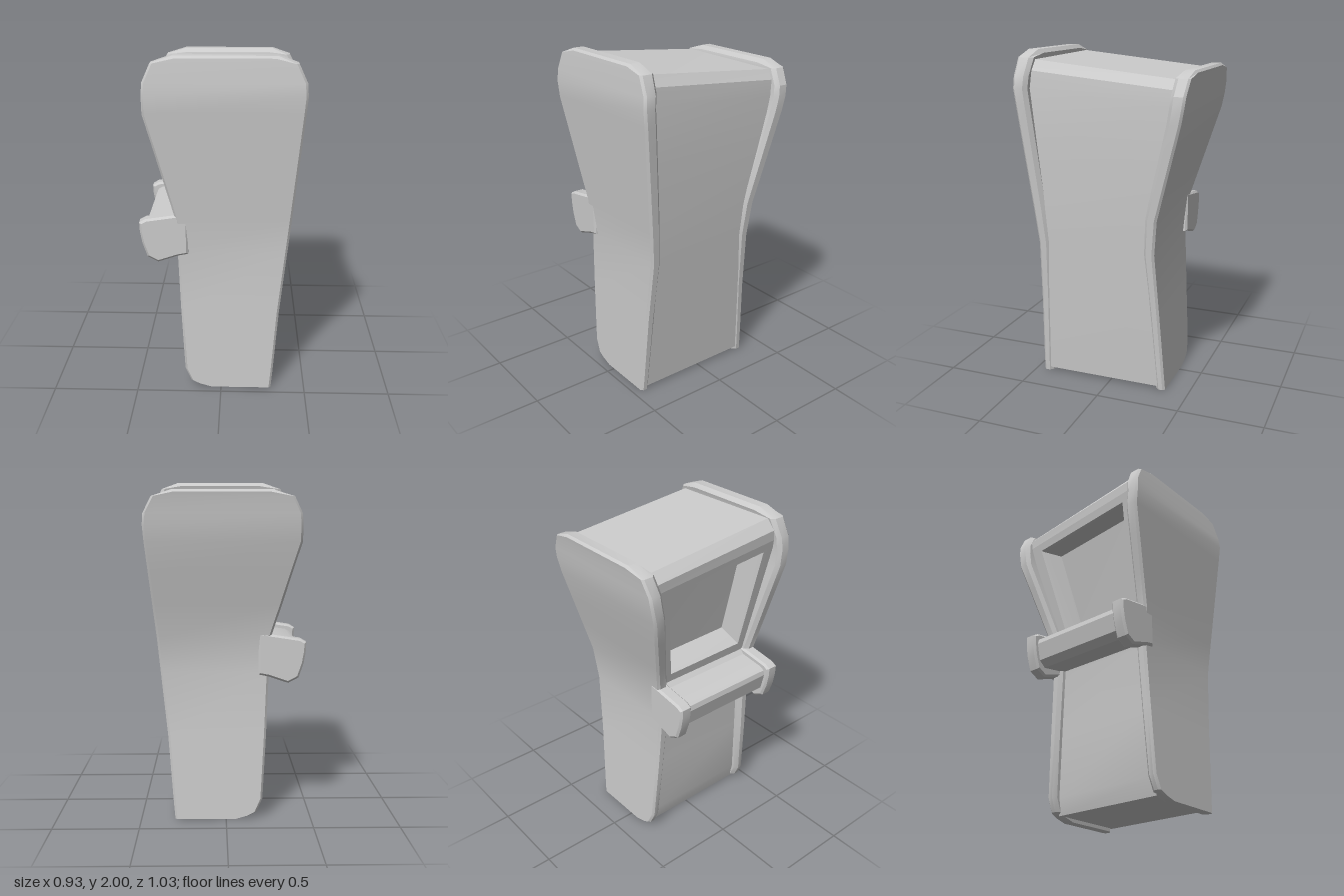
import * as THREE from 'three';
import { toCreasedNormals } from 'three/addons/utils/BufferGeometryUtils.js';

const material = new THREE.MeshStandardMaterial({ color: 0xcccccc });

// Piecewise linear curve through [y, value] keys
function curve(keys) {
  return (y) => {
    let i = 0;
    while (i < keys.length - 2 && y > keys[i + 1][0]) i++;
    const [y0, a] = keys[i], [y1, b] = keys[i + 1];
    return a + (b - a) * THREE.MathUtils.clamp((y - y0) / (y1 - y0), 0, 1);
  };
}

// The two bent sides: inner and outer z by height; the back one is a little shorter
const front = {
  sign: 1,
  outer: curve([[0, .45], [.5, .433], [.87, .42], [1.08, .44], [1.79, .515], [2, .5]]),
  inner: curve([[0, .39], [.87, .35], [1.08, .365], [1.79, .43], [2, .405]]),
  height: (y) => y,
};
const back = {
  sign: -1,
  outer: curve([[0, -.355], [.5, -.325], [.87, -.305], [1.08, -.325], [1.74, -.485], [2, -.515]]),
  inner: curve([[0, -.295], [.87, -.235], [1.08, -.25], [1.74, -.4], [2, -.425]]),
  height: (y) => (y < 1.08 ? y : 1.08 + (y - 1.08) * .902),
};

function quadMesh(name, quads, flip = false, crease = .4) {
  const pos = [];
  for (const q of quads) {
    const [a, b, c, d] = flip ? [...q].reverse() : q;
    for (const p of [a, b, c, a, c, d]) pos.push(...p);
  }
  const g = new THREE.BufferGeometry();
  g.setAttribute('position', new THREE.Float32BufferAttribute(pos, 3));
  const mesh = new THREE.Mesh(toCreasedNormals(g, crease), material);
  mesh.name = name;
  return mesh;
}

// Side panel: chamfered rings [height, left x, right x] lofted upwards
const panelRows = [
  [0, -.07, .30], [.02, -.14, .302], [.04, -.18, .304], [.12, -.215, .311], [.5, -.235, .34],
  [.87, -.25, .38], [1.08, -.26, .40], [1.3, -.318, .42], [1.5, -.37, .438], [1.69, -.42, .455],
  [1.79, -.42, .462], [1.86, -.415, .457], [1.96, -.37, .41], [2, -.25, .30],
];

function sidePanel(name, side) {
  const bIn = .022, bOut = .013, s = side.sign;
  const rings = panelRows.map(([y, l, r], i) => {
    const top = i === panelRows.length - 1 ? 1 : 0;
    const zi = side.inner(y), zo = side.outer(y), h = side.height(y);
    const steps = [[bIn, zi], [0, zi + s * bIn], [0, zo - s * bOut], [bOut, zo]];
    const left = steps.map(([b, z]) => [l + b, h - top * b, z]);
    const right = steps.map(([b, z]) => [r - b, h - top * b, z]).reverse();
    return [...left, ...right];
  });
  const quads = [];
  for (let i = 0; i < rings.length - 1; i++) {
    const a = rings[i], b = rings[i + 1];
    for (let k = 0; k < 8; k++) {
      const n = (k + 1) % 8;
      quads.push([a[k], a[n], b[n], b[k]]);
    }
  }
  const t = rings[rings.length - 1], u = rings[0];
  for (let k = 0; k < 3; k++) {
    quads.push([t[k], t[k + 1], t[6 - k], t[7 - k]]);
    quads.push([u[7 - k], u[6 - k], u[k + 1], u[k]]);
  }
  return quadMesh(name, quads, s < 0);
}

// Point on the inside of a side, pushed slightly into the panel
const onSide = (side, [x, y]) => [x, side.height(y), side.inner(y) + side.sign * .015];

// Skin stretched between both side panels along a profile
function skin(name, profile) {
  const quads = [];
  for (let i = 0; i < profile.length - 1; i++) {
    const a = profile[i], b = profile[i + 1];
    quads.push([onSide(front, a), onSide(back, a), onSide(back, b), onSide(front, b)]);
  }
  return quadMesh(name, quads);
}

// Screen surround with sloped walls leading to a sunken screen
const screenTop = [-.375, 1.84], screenBottom = [-.225, 1.09];

function screenLoop(margin, t0, t1, depth) {
  const point = (u, t) => {
    const p = [0, 1].map((i) => screenTop[i] + (screenBottom[i] - screenTop[i]) * t);
    const f = new THREE.Vector3(...onSide(front, p)), b = new THREE.Vector3(...onSide(back, p));
    f.lerp(b, u);
    return [f.x + depth * .98, f.y + depth * .19, f.z];
  };
  return [point(margin, t0), point(1 - margin, t0), point(1 - margin, t1), point(margin, t1)];
}

function screenParts() {
  const loops = [
    screenLoop(0, 0, 1, 0), screenLoop(.1, .07, .92, 0),
    screenLoop(.115, .085, .905, .02), screenLoop(.165, .12, .84, .12),
  ];
  const ring = (o, n) => o.map((p, k) => [p, o[(k + 1) % 4], n[(k + 1) % 4], n[k]]);
  const frame = [0, 1, 2].flatMap((i) => ring(loops[i], loops[i + 1]));
  return [quadMesh('screenSurround', frame), quadMesh('screen', [loops[3]])];
}

// Lug that carries the end of the control shelf
function lug(name, z0, z1) {
  const b = .012;
  const pts = [[-.2, 1.095], [-.26, 1.085], [-.425, 1.06], [-.452, 1.045], [-.45, 1],
    [-.438, .93], [-.412, .853], [-.36, .825], [-.25, .862], [-.2, .872]];
  const shape = new THREE.Shape(pts.map((p) => new THREE.Vector2(...p)));
  const g = new THREE.ExtrudeGeometry(shape, {
    depth: z1 - z0 - 2 * b, bevelEnabled: true, bevelSegments: 1, bevelSize: b, bevelThickness: b,
  });
  g.translate(0, 0, z0 + b);
  const mesh = new THREE.Mesh(toCreasedNormals(g, .4), material);
  mesh.name = name;
  return mesh;
}

export function createModel() {
  const model = new THREE.Group();
  model.name = 'cabinet';
  model.add(sidePanel('frontSidePanel', front), sidePanel('backSidePanel', back));

  // Underside, rear wall and rounded roof
  model.add(skin('cabinetShell', [
    [-.15, .02], [.297, .02], [.337, .5], [.367, .87], [.383, 1.08], [.4, 1.45], [.412, 1.79],
    [.407, 1.89], [.37, 1.95], [-.33, 1.96], [-.378, 1.9], screenTop,
  ]));
  model.add(...screenParts());

  // Control shelf and lower wall below it
  model.add(skin('controlShelf', [
    screenBottom, [-.25, 1.065], [-.4, 1.045], [-.428, 1.03], [-.435, 1], [-.412, .9],
    [-.37, .865], [-.21, .89],
  ]));
  model.add(skin('lowerWall', [
    [-.21, .89], [-.208, .87], [-.193, .5], [-.175, .12], [-.15, .02],
  ]));
  model.add(lug('frontShelfLug', .358, .437), lug('backShelfLug', -.33, -.25));
  return model;
}
